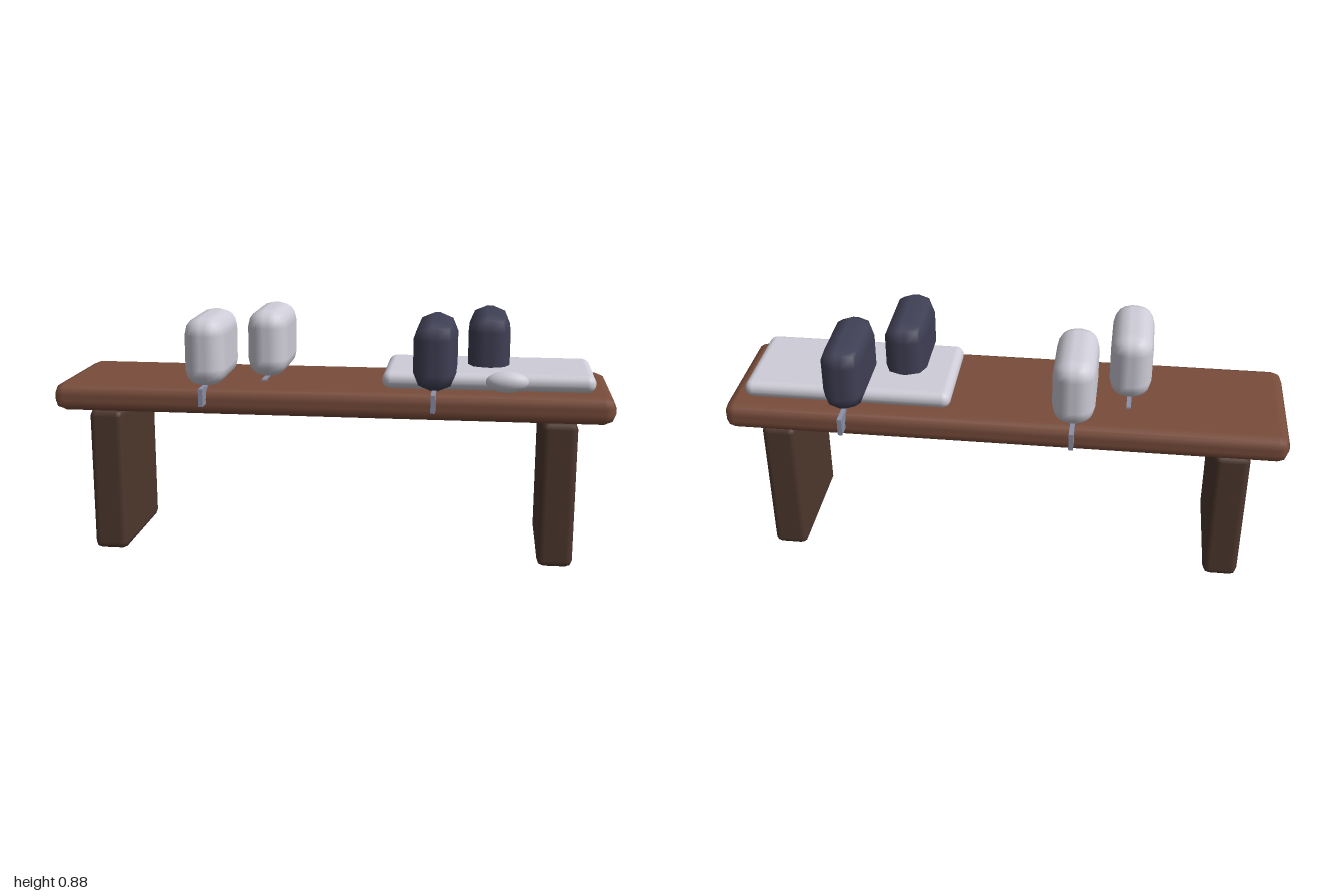
import * as THREE from 'three';
import { RoundedBoxGeometry } from 'three/addons/geometries/RoundedBoxGeometry.js';

const material = (name, color) => {
  const m = new THREE.MeshStandardMaterial({ color });
  m.name = name;
  return m;
};

export function createModel() {
  const seatWood = material('seatWood', 0x7a4d3b);
  const legWood = material('legWood', 0x4e382e);
  const paleLeather = material('paleLeather', 0xcfcdd8);
  const darkLeather = material('darkLeather', 0x404056);
  const steel = material('steel', 0x8c90a8);

  const group = new THREE.Group();
  group.name = 'benchWithSkates';

  const add = (name, geometry, mat, x, y, z, parent = group) => {
    const mesh = new THREE.Mesh(geometry, mat);
    mesh.name = name;
    mesh.position.set(x, y, z);
    parent.add(mesh);
    return mesh;
  };

  // Bench: thick plank on two slab legs
  add('seat', new RoundedBoxGeometry(2, 0.1, 0.5, 1, 0.04), seatWood, 0, 0.577, 0);
  for (const side of [-1, 1]) {
    add(side < 0 ? 'rightLeg' : 'leftLeg',
      new RoundedBoxGeometry(0.125, 0.53, 0.45, 1, 0.025), legWood, side * 0.8125, 0.265, 0);
  }

  // Two pairs of skates: a rounded boot over a long thin blade
  const skates = [
    ['paleSkate', paleLeather, -0.44, 0.1, 2],
    ['paleSkate', paleLeather, -0.25, -0.1, 2],
    ['darkSkate', darkLeather, 0.373, 0.1, 1],
    ['darkSkate', darkLeather, 0.56, -0.1, 1],
  ];
  for (const [name, leather, x, z, segments] of skates) {
    const skate = new THREE.Group();
    skate.name = name;
    skate.position.set(x, 0, z);
    group.add(skate);
    add('boot', new RoundedBoxGeometry(0.15, 0.25, 0.325, segments, 0.065), leather, 0, 0.752, 0, skate);
    add('blade', new THREE.BoxGeometry(0.016, 0.063, 0.4), steel, 0, 0.602, 0, skate);
  }

  // Folded towel with a small bunched knot at its front edge
  add('towel', new RoundedBoxGeometry(0.745, 0.062, 0.375, 3, 0.03), paleLeather, 0.56, 0.658, 0);
  const knot = add('towelKnot', new THREE.SphereGeometry(0.0375, 16, 12), paleLeather, 0.626, 0.665, 0.191);
  knot.scale.x = 2;

  return group;
}
